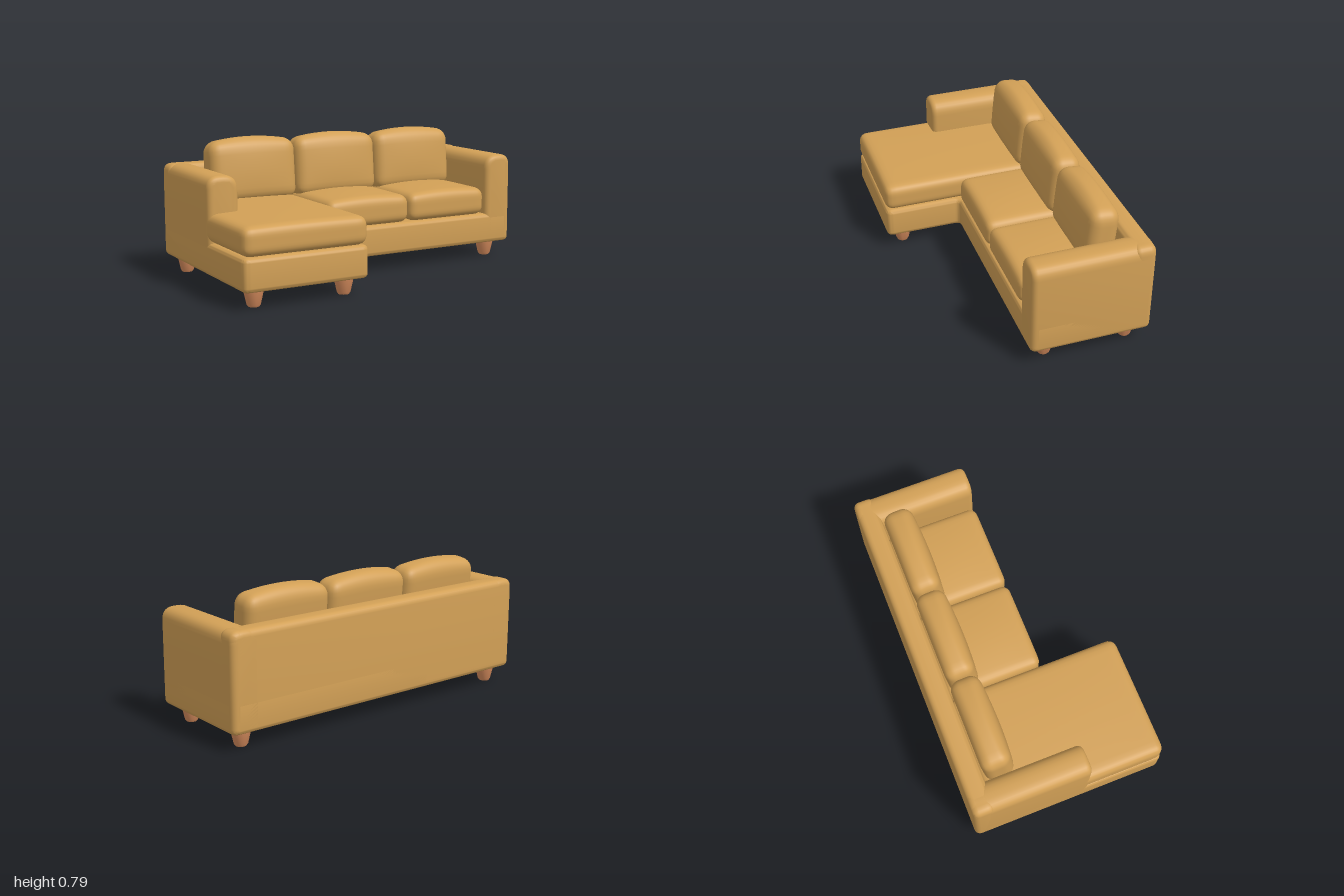
import * as THREE from 'three';
import { mergeVertices, toCreasedNormals } from 'three/addons/utils/BufferGeometryUtils.js';

const fabric = new THREE.MeshStandardMaterial({ name: 'tan fabric', color: 0xd2a056 });
const wood = new THREE.MeshStandardMaterial({ name: 'warm wood', color: 0xdc9060 });

// Closed outline from [x, y, cornerRadius] points
function roundedOutline(points) {
  const shape = new THREE.Shape();
  const n = points.length;
  points.forEach(([x, y, r], i) => {
    const p = new THREE.Vector2(x, y);
    const toward = ([qx, qy]) => new THREE.Vector2(qx, qy).sub(p).setLength(r).add(p);
    const a = toward(points[(i + n - 1) % n]);
    const b = toward(points[(i + 1) % n]);
    if (i === 0) shape.moveTo(a.x, a.y);
    else shape.lineTo(a.x, a.y);
    shape.quadraticCurveTo(x, y, b.x, b.y);
  });
  shape.closePath();
  return shape;
}

// Outline extruded from z = 0 to z = depth with rounded rims
function paddedSlab(points, depth, bevel) {
  const geometry = new THREE.ExtrudeGeometry(roundedOutline(points), {
    depth: depth - 2 * bevel, bevelThickness: bevel, bevelSize: bevel,
    bevelOffset: -bevel, bevelSegments: 5, curveSegments: 7,
  });
  geometry.translate(0, 0, bevel);
  return toCreasedNormals(geometry, 0.7);
}

// Rounded box whose top and front swell gently in the middle
function cushionGeometry(w, h, d, r, crown, bulge = 0) {
  let geometry = new THREE.BoxGeometry(2, 2, 2, 24, 16, 24);
  geometry.deleteAttribute('normal');
  geometry.deleteAttribute('uv');
  geometry = mergeVertices(geometry);
  const half = new THREE.Vector3(w / 2, h / 2, d / 2);
  const core = half.clone().subScalar(r);
  const low = core.clone().negate();
  const pos = geometry.attributes.position;
  const p = new THREE.Vector3();
  const ease = (t) => Math.sin(t * Math.PI / 2);
  for (let i = 0; i < pos.count; i++) {
    p.fromBufferAttribute(pos, i);
    p.set(ease(p.x), ease(p.y), ease(p.z)).multiply(half);
    const inner = p.clone().clamp(low, core);
    p.sub(inner).setLength(r).add(inner);
    const [u, v, t] = [p.x / half.x, p.y / half.y, p.z / half.z];
    p.y += crown * (1 - u * u) * (1 - 0.5 * t * t) * Math.max(v, 0);
    p.z += bulge * (1 - u * u) * (1 - v * v) * Math.max(t, 0);
    pos.setXYZ(i, p.x, p.y, p.z);
  }
  geometry.computeVertexNormals();
  return geometry;
}

export function createModel() {
  const sofa = new THREE.Group();
  sofa.name = 'chaiseSofa';

  const add = (name, geometry, material, x = 0, y = 0, z = 0) => {
    const mesh = new THREE.Mesh(geometry, material);
    mesh.name = name;
    mesh.position.set(x, y, z);
    sofa.add(mesh);
    return mesh;
  };

  // L-shaped base, outline drawn in x and -z
  const base = paddedSlab([
    [-1, -0.57, 0.04], [-0.27, -0.57, 0.04], [-0.27, -0.12, 0.03],
    [1, -0.12, 0.04], [1, 0.57, 0.04], [-1, 0.57, 0.04],
  ], 0.18, 0.025);
  base.rotateX(-Math.PI / 2);
  add('base', base, fabric, 0, 0.095, 0);

  // Back rest frame
  add('backFrame', paddedSlab([
    [-1, 0.095, 0.04], [1, 0.095, 0.04], [1, 0.635, 0.05], [-1, 0.635, 0.05],
  ], 0.125, 0.035), fabric, 0, 0, -0.57);

  // Arms, rounder on the inner top edge
  for (const [name, s] of [['leftArm', 1], ['rightArm', -1]]) {
    add(name, paddedSlab([
      [s * 0.82, 0.095, 0.035], [s, 0.095, 0.035], [s, 0.635, 0.07], [s * 0.82, 0.635, 0.085],
    ], 0.69, 0.032), fabric, 0, 0, -0.57);
  }

  // Long chaise cushion, its rear outer corner tucked into the arm
  add('chaiseCushion', cushionGeometry(0.728, 0.157, 1.02, 0.05, 0.01),
    fabric, -0.635, 0.3535, 0.06);

  // Two seat cushions
  for (const x of [0, 0.542]) {
    add('seatCushion', cushionGeometry(0.54, 0.16, 0.57, 0.05, 0.022), fabric, x, 0.355, -0.165);
  }

  // Three back cushions leaning on the frame
  for (const x of [-0.542, 0, 0.542]) {
    const cushion = add('backCushion', cushionGeometry(0.54, 0.345, 0.17, 0.06, 0.03, 0.015),
      fabric, x, 0.5825, -0.349);
    cushion.rotation.x = -0.09;
  }

  // Tapered legs with softened feet
  const legProfile = [[0, 0], [0.03, 0], [0.038, 0.012], [0.058, 0.1], [0, 0.1]]
    .map(([x, y]) => new THREE.Vector2(x, y));
  const leg = toCreasedNormals(new THREE.LatheGeometry(legProfile, 14), 0.7);
  for (const [x, z] of [[-0.9, 0.46], [-0.37, 0.46], [0.89, 0.01], [0.89, -0.465], [-0.9, -0.465]]) {
    add('leg', leg, wood, x, 0, z);
  }

  return sofa;
}
